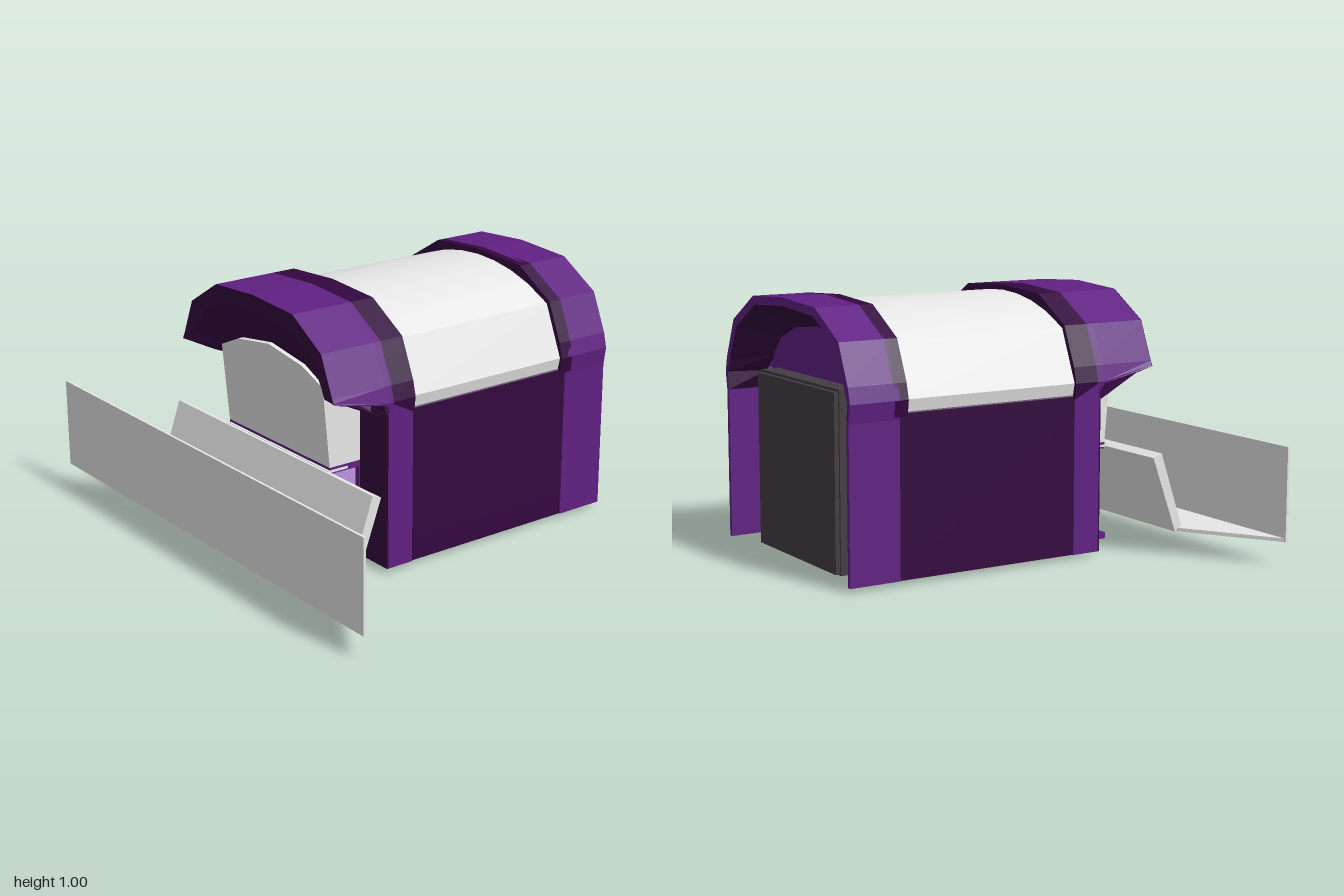
import * as THREE from 'three';
import { toCreasedNormals } from 'three/addons/utils/BufferGeometryUtils.js';

const mat = (name, color) => {
  const m = new THREE.MeshStandardMaterial({ color, side: THREE.DoubleSide });
  m.name = name;
  return m;
};

// Mirror a half profile (running from +x to the centre line) across x = 0
const mirror = (half) => [...half, ...half.slice(0, -1).reverse().map(([x, y]) => [-x, y])];

// Skin consecutive cross-sections, each { p: half profile, z }, with flat faces
function loft(sections) {
  const pos = [];
  const rows = sections.map(({ p, z }) => mirror(p).map(([x, y]) => [x, y, z]));
  for (let r = 0; r < rows.length - 1; r++) {
    for (let i = 0; i < rows[r].length - 1; i++) {
      const a = rows[r][i], b = rows[r][i + 1], c = rows[r + 1][i + 1], d = rows[r + 1][i];
      // sections run from front to back, so this order faces outward
      pos.push(...a, ...c, ...b, ...a, ...d, ...c);
    }
  }
  const g = new THREE.BufferGeometry();
  g.setAttribute('position', new THREE.Float32BufferAttribute(pos, 3));
  g.computeVertexNormals();
  return g;
}

// Solid with a mirrored profile between two z positions
function solid(half, z0, z1) {
  const s = new THREE.Shape(mirror(half).map(([x, y]) => new THREE.Vector2(x, y)));
  return new THREE.ExtrudeGeometry(s, { depth: z1 - z0, bevelEnabled: false }).translate(0, 0, z0);
}

export function createModel() {
  const model = new THREE.Group();
  model.name = 'plowCab';
  const purple = mat('purple', 0x602082);
  const dark = mat('darkPurple', 0x34083f);
  const white = mat('lightGrey', 0xe8e8e8);
  const lilac = mat('lilac', 0xbe92e2);
  const black = mat('charcoal', 0x433c42);

  const add = (name, geo, m) => {
    const mesh = new THREE.Mesh(geo, m);
    mesh.name = name;
    model.add(mesh);
    return mesh;
  };
  const box = (name, m, x0, x1, y0, y1, z0, z1) =>
    add(name, new THREE.BoxGeometry(x1 - x0, y1 - y0, z1 - z0)
      .translate((x0 + x1) / 2, (y0 + y1) / 2, (z0 + z1) / 2), m);

  // Shared arch profiles
  const crown = [[0.49, 0.73], [0.425, 0.88], [0.25, 0.985], [0, 1]];
  const arch = [[0.505, 0.67], ...crown];
  const upper = [[0.497, 0.61], ...arch];
  const upperHigh = [[0.504, 0.662], ...arch];
  const full = [[0.494, 0.016], [0.494, 0.6], ...arch];
  const roof = [[0.482, 0.615], [0.494, 0.67], [0.41, 0.87], [0.3, 0.924], [0.2, 0.956], [0.1, 0.974], [0, 0.98]];
  const bandInner = [[0.482, 0.615], [0.494, 0.67], [0.41, 0.87], [0.36, 0.894], [0.24, 0.942], [0, 0.978]];
  const core = [[0.488, 0.03], [0.488, 0.62], [0.47, 0.64], [0.47, 0.69], [0.39, 0.85], [0.22, 0.93], [0, 0.96]];

  // Main body and smooth roof panel
  add('body', solid(core, -0.585, 0.285), dark);
  add('roofPanel', toCreasedNormals(loft([{ p: roof, z: 0.18 }, { p: roof, z: -0.56 }]), 0.35), white);

  // Front hood: dark rear band, outer skin, lip and stepped underside
  const lip = [[0.497, 0.71], [0.493, 0.715], ...crown.map(([x, y]) => [x * 0.99, y])];
  const lipIn = [[0.495, 0.708], [0.43, 0.715], [0.415, 0.75], [0.345, 0.86], [0.21, 0.922], [0, 0.938]];
  const mid = [[0.5, 0.69], [0.4, 0.675], [0.35, 0.71], [0.33, 0.718], [0.21, 0.772], [0, 0.803]];
  const inner = [[0.505, 0.605], [0.4, 0.605], [0.345, 0.69], [0.33, 0.72], [0.21, 0.775], [0, 0.806]];
  add('hoodBand', loft([{ p: upperHigh, z: 0.27 }, { p: upper, z: 0.17 }, { p: bandInner, z: 0.17 }]), dark);
  add('hood', loft([{ p: lip, z: 0.53 }, { p: upperHigh, z: 0.3 }, { p: upper, z: 0.27 }]), purple);
  add('hoodUnderside', loft([
    { p: inner, z: 0.285 }, { p: mid, z: 0.45 }, { p: lipIn, z: 0.525 }, { p: lip, z: 0.531 },
  ]), dark);

  // Rear arch: dark front band, outer skin, thin rim and hollow sloping inside
  const rim = [[0.478, 0.6], [0.485, 0.67], [0.465, 0.72], [0.4, 0.855], [0.235, 0.953], [0, 0.968]];
  const recess = [[0.478, 0.6], [0.44, 0.67], [0.36, 0.74], [0.29, 0.81], [0.17, 0.86], [0, 0.88]];
  const bulkhead = [[0.365, 0.03], [0.365, 0.7], [0.355, 0.745], [0.29, 0.815], [0.17, 0.865], [0, 0.885]];
  add('rearBand', loft([{ p: bandInner, z: -0.55 }, { p: upper, z: -0.55 }, { p: upper, z: -0.605 }]), dark);
  add('rearArch', loft([{ p: full, z: -0.585 }, { p: full, z: -0.785 }]), purple);
  add('rearRim', loft([{ p: full.slice(1), z: -0.785 }, { p: [rim[0], ...rim], z: -0.785 }]), purple);
  add('rearRecess', loft([{ p: rim, z: -0.785 }, { p: recess, z: -0.64 }]), dark);
  add('rearBulkhead', solid(bulkhead, -0.65, -0.58), purple);
  box('rearDoorFrame', black, -0.315, 0.315, 0.016, 0.695, -0.725, -0.64);
  box('rearDoor', black, -0.307, 0.307, 0.02, 0.685, -0.742, -0.72);

  // Rear legs, side skirts, front pillars with coloured sides, and headlamps
  for (const s of [-1, 1]) {
    const side = s < 0 ? 'right' : 'left';
    const span = (a, b) => (s > 0 ? [a, b] : [-b, -a]);
    box(side + 'RearLeg', purple, ...span(0.478, 0.493), 0.016, 0.61, -0.785, -0.58);
    box(side + 'Skirt', dark, ...span(0.465, 0.489), 0.016, 0.1, -0.585, 0.2);
    box(side + 'PillarSide', purple, ...span(0.465, 0.494), 0.016, 0.66, 0.172, 0.284);
    box(side + 'PillarFront', dark, ...span(0.33, 0.494), 0.016, 0.62, 0.284, 0.29);
    box(side + 'Headlamp', lilac, ...span(0.2, 0.31), 0.04, 0.375, 0.29, 0.42);
  }

  // Front panel leaning slightly forward
  const panel = solid([[0.33, 0.4], [0.33, 0.715], [0.21, 0.768], [0, 0.8]], 0.29, 0.43);
  const pp = panel.attributes.position;
  for (let i = 0; i < pp.count; i++) {
    if (pp.getZ(i) > 0.4) pp.setZ(i, 0.43 + (pp.getY(i) - 0.4) * 0.09);
  }
  panel.computeVertexNormals();
  add('frontPanel', panel, white);

  // Nose: shelf, bumper and tapering grille slats
  box('noseShelf', purple, -0.33, 0.33, 0.375, 0.4, 0.285, 0.43);
  box('bumper', purple, -0.33, 0.33, 0.016, 0.04, 0.285, 0.44);
  box('noseBack', purple, -0.33, 0.33, 0.02, 0.38, 0.285, 0.296);
  box('grilleBack', purple, -0.19, 0.19, 0.03, 0.38, 0.29, 0.435);
  box('grilleTop', dark, -0.19, 0.19, 0.24, 0.38, 0.43, 0.465);
  for (let i = 0; i < 3; i++) {
    const w = 0.1 + i * 0.03, y = 0.094 + i * 0.05;
    box('grilleSlat', dark, -w, w, y, y + 0.028, 0.43, 0.467);
  }
  box('noseSkid', dark, -0.06, 0.06, 0, 0.016, 0.27, 0.467);

  // Plow: upright blade, tapering floor, leaning back plate and mount
  box('plowBlade', white, -1, 1, 0.09, 0.45, 0.775, 0.785);
  const floor = new THREE.Shape([[-1, -0.78], [1, -0.78], [0.64, -0.55], [-0.64, -0.55]]
    .map(([x, y]) => new THREE.Vector2(x, y)));
  add('plowFloor', new THREE.ExtrudeGeometry(floor, { depth: 0.014, bevelEnabled: false })
    .rotateX(-Math.PI / 2).translate(0, 0.09, 0), white);
  const back = new THREE.Shape([[-0.54, 0.09], [-0.57, 0.11], [-0.47, 0.4], [-0.432, 0.385]]
    .map(([x, y]) => new THREE.Vector2(x, y)));
  add('plowBackPlate', new THREE.ExtrudeGeometry(back, { depth: 1.28, bevelEnabled: false })
    .rotateY(Math.PI / 2).translate(-0.64, 0, 0), white);
  box('plowMount', white, -0.335, 0.335, 0.382, 0.39, 0.35, 0.44);

  return model;
}
